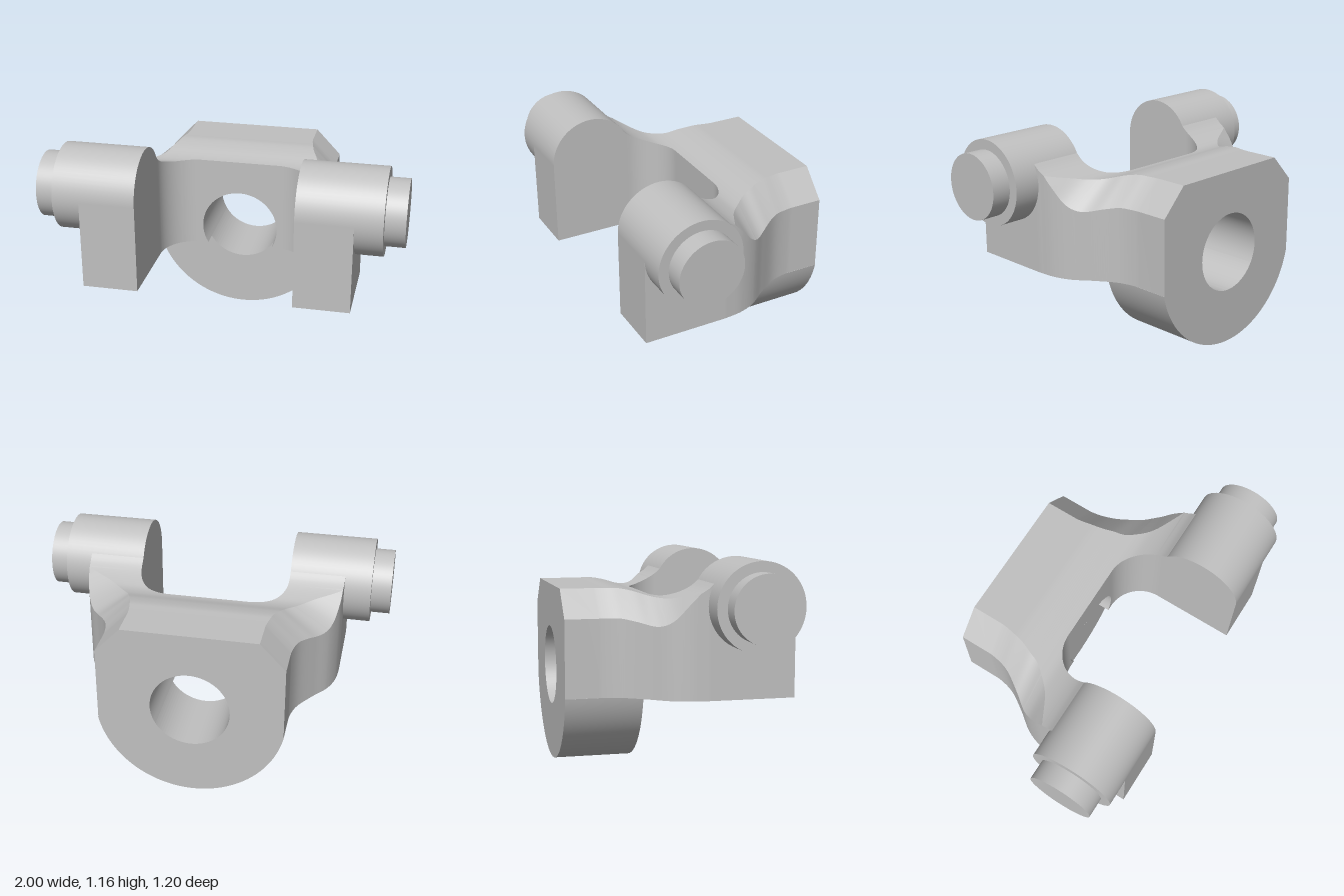
import * as THREE from 'three';
import { toCreasedNormals } from 'three/addons/utils/BufferGeometryUtils.js';

const BASE = 0.42;                                 // underside of bridge and arms
const BORE = { y: 0.532, r: 0.222 };
const boreAngle = Math.asin((BORE.y - BASE) / BORE.r);
const boreX = BORE.r * Math.cos(boreAngle);

// Smooth function of z through [z, value] pairs, constant outside them
function curve(pairs) {
  const f = new THREE.CubicInterpolant(pairs.map(p => p[0]), pairs.map(p => p[1]), 1);
  return z => f.evaluate(z)[0];
}

const topY = curve([[-0.36, 0.995], [-0.3, 0.995], [-0.22, 0.981], [-0.11, 0.95], [-0.045, 0.945],
  [0, 0.954], [0.08, 0.985], [0.13, 1.017], [0.15, 1.036], [0.3, 0.92]]);
const outerX = curve([[-0.45, 0.517], [-0.4, 0.518], [-0.29, 0.545], [-0.17, 0.62], [-0.075, 0.69],
  [0.02, 0.727], [0.125, 0.74]]);
// Chamfer height and width, fading out towards the lugs
const chamferDrop = curve([[-0.3, 0.15], [-0.23, 0.152], [-0.13, 0.145], [-0.085, 0.125],
  [-0.045, 0.097], [0.02, 0.04], [0.08, 0]]);
const chamferInset = curve([[-0.4, 0.142], [-0.315, 0.145], [-0.21, 0.17], [-0.11, 0.195],
  [-0.01, 0.145], [0.08, 0]]);

// Skin between counter-clockwise xy contours placed along increasing z
function loft(zs, contourAt) {
  const rings = zs.map(z => contourAt(z).map(([x, y]) => new THREE.Vector3(x, y, z)));
  const n = rings[0].length, pts = [];
  for (let k = 0; k < rings.length - 1; k++) {
    for (let i = 0; i < n; i++) {
      const j = (i + 1) % n;
      const a = rings[k][i], b = rings[k][j], c = rings[k + 1][j], d = rings[k + 1][i];
      pts.push(a, b, c, a, c, d);
    }
  }
  const first = rings[0], last = rings[rings.length - 1];
  const flat = ring => THREE.ShapeUtils.triangulateShape(ring.map(p => new THREE.Vector2(p.x, p.y)), []);
  for (const [a, b, c] of flat(first)) pts.push(first[a], first[c], first[b]);
  for (const [a, b, c] of flat(last)) pts.push(last[a], last[b], last[c]);
  return toCreasedNormals(new THREE.BufferGeometry().setFromPoints(pts), 0.45);
}

// Bridge section: chamfered block with the bore arching up from below
function bridgeContour(z) {
  const o = outerX(z), t = topY(z), e = t - chamferDrop(z), c = o - chamferInset(z);
  const pts = [[boreX, BASE], [o, BASE], [o, e], [c, t], [-c, t], [-o, e], [-o, BASE], [-boreX, BASE]];
  const steps = 40;
  for (let i = 1; i < steps; i++) {
    const a = Math.PI + boreAngle - (Math.PI + 2 * boreAngle) * i / steps;
    pts.push([BORE.r * Math.cos(a), BORE.y + BORE.r * Math.sin(a)]);
  }
  return pts;
}

// Arm section: inner wall follows a round fillet, then runs straight
const FILLET = { x: 0.225, z: 0.12, r: 0.205 };
function armContour(z, side) {
  const dz = Math.max(0, FILLET.z - z);
  const i = FILLET.x + Math.sqrt(Math.max(0, FILLET.r ** 2 - dz ** 2));
  const o = outerX(z), t = topY(z), e = t - chamferDrop(z), c = o - chamferInset(z);
  const pts = [[i, BASE], [o, BASE], [o, e], [c, t], [i, t]];
  return side > 0 ? pts : pts.map(([x, y]) => [-x, y]).reverse();
}

export function createModel() {
  const group = new THREE.Group();
  const metal = new THREE.MeshStandardMaterial({ color: 0xc0c0c0 });
  metal.name = 'grey metal';
  const add = (name, geometry) => {
    const mesh = new THREE.Mesh(geometry, metal);
    mesh.name = name;
    group.add(mesh);
    return mesh;
  };

  // Bridge, from the flat back to the web front
  const bridgeZ = [-0.6];
  for (let i = 0; i <= 32; i++) bridgeZ.push(-0.42 + 0.335 * i / 32);
  add('bridge', loft(bridgeZ, bridgeContour));

  // Lower half of the bored ring
  const ring = new THREE.Shape();
  const R = 0.53, cut = Math.asin((R - BASE) / R);
  ring.moveTo(boreX, BASE);
  ring.lineTo(R * Math.cos(cut), BASE);
  ring.absarc(0, R, R, -cut, -Math.PI + cut, true);
  ring.lineTo(-boreX, BASE);
  ring.absarc(0, BORE.y, BORE.r, Math.PI + boreAngle, 2 * Math.PI - boreAngle, false);
  const ringGeometry = new THREE.ExtrudeGeometry(ring, { depth: 0.425, bevelEnabled: false, curveSegments: 48 });
  ringGeometry.translate(0, 0, -0.6);
  add('lowerRing', toCreasedNormals(ringGeometry, 0.45));

  // Arms, lugs and pins, mirrored
  const armZ = [];
  for (let i = 0; i <= 32; i++) armZ.push(FILLET.z - FILLET.r * Math.cos(Math.PI / 2 * i / 32));
  armZ.push(0.135, 0.15, 0.3, 0.6);
  const barrel = (name, side, r, x0, x1) => {
    const g = new THREE.CylinderGeometry(r, r, x1 - x0, 64);
    g.rotateZ(Math.PI / 2);
    add(name, g).position.set(side * (x0 + x1) / 2, 0.92, 0.36);
  };
  for (const [label, side] of [['left', 1], ['right', -1]]) {
    add(label + 'Arm', loft(armZ, z => armContour(z, side)));
    barrel(label + 'Lug', side, 0.24, 0.43, 0.89);
    barrel(label + 'Pin', side, 0.184, 0.88, 1);
  }
  return group;
}
